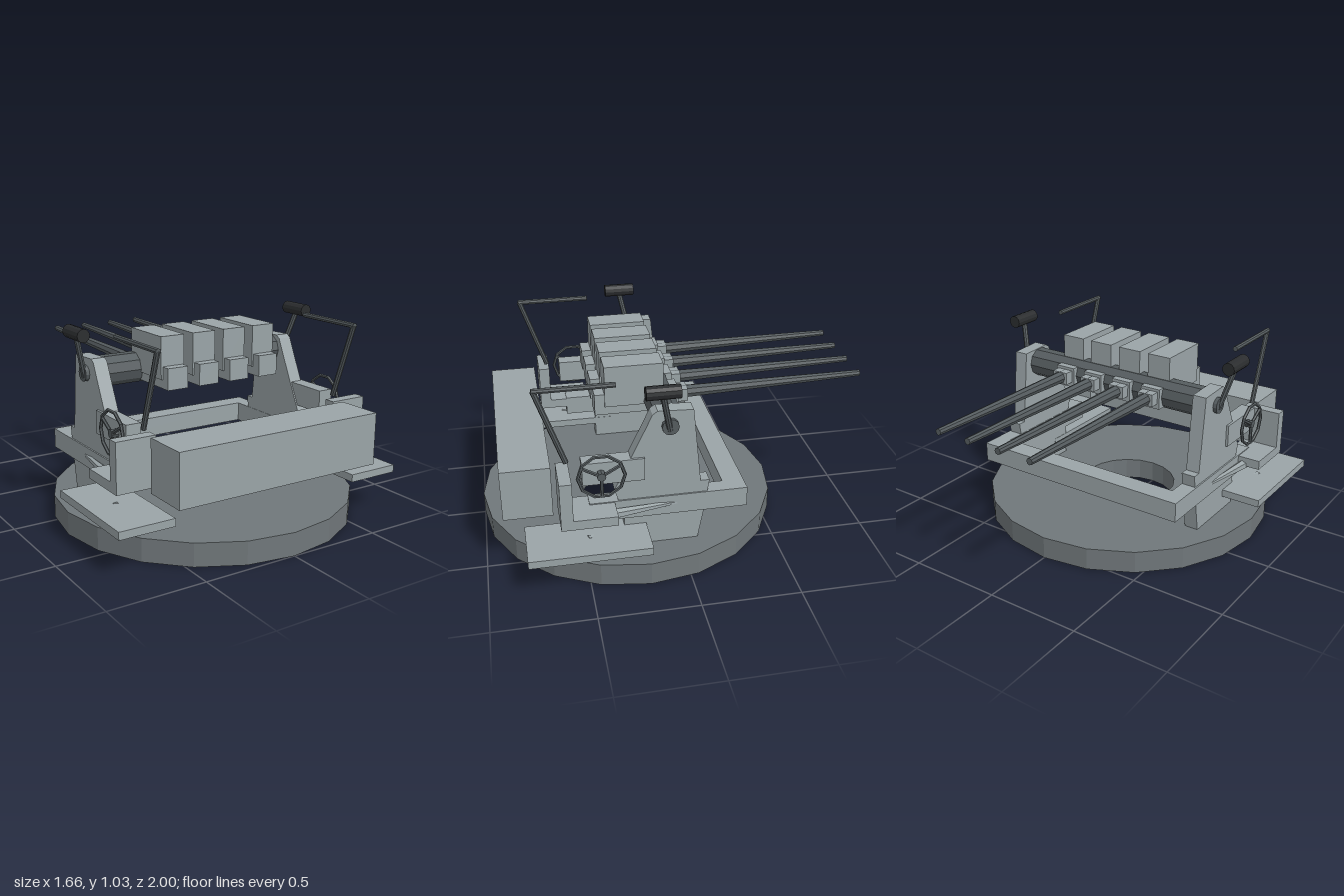
import * as THREE from 'three';

const mat = (color) => new THREE.MeshStandardMaterial({ color, flatShading: true });

export function createModel() {
  const root = new THREE.Group();
  root.name = 'quadGunMount';
  const light = mat(0x9aa4a7), mid = mat(0x70777a), dark = mat(0x555c5f), black = mat(0x2b2d2f);

  const add = (parent, name, geometry, material) => {
    const mesh = new THREE.Mesh(geometry, material);
    mesh.name = name;
    parent.add(mesh);
    return mesh;
  };
  // Box given by its limits on each axis
  const box = (parent, name, [x0, x1], [y0, y1], [z0, z1], material = light) => {
    const g = new THREE.BoxGeometry(x1 - x0, y1 - y0, z1 - z0);
    g.translate((x0 + x1) / 2, (y0 + y1) / 2, (z0 + z1) / 2);
    return add(parent, name, g, material);
  };
  // Round bar between two points, optionally tapered
  const rod = (parent, name, from, to, r0, r1 = r0, material = dark, sides = 8) => {
    const a = new THREE.Vector3(...from), b = new THREE.Vector3(...to);
    const dir = b.clone().sub(a);
    const mesh = add(parent, name, new THREE.CylinderGeometry(r1, r0, dir.length(), sides), material);
    mesh.position.copy(a).add(b).multiplyScalar(0.5);
    mesh.quaternion.setFromUnitVectors(new THREE.Vector3(0, 1, 0), dir.normalize());
    return mesh;
  };

  // Base ring, twenty-sided with a central opening
  const ring = (radius) => Array.from({ length: 20 }, (_, i) => {
    const a = (i / 20) * Math.PI * 2;
    return new THREE.Vector2(Math.cos(a) * radius, Math.sin(a) * radius);
  });
  const baseShape = new THREE.Shape(ring(0.795));
  baseShape.holes.push(new THREE.Path(ring(0.265).reverse()));
  const baseGeo = new THREE.ExtrudeGeometry(baseShape, { depth: 0.12, bevelEnabled: false });
  baseGeo.rotateX(-Math.PI / 2).translate(0, 0, 0.205);
  add(root, 'baseRing', baseGeo, mid);

  // Cross members
  box(root, 'rearCrossbar', [-0.62, 0.62], [0.285, 0.39], [-0.315, -0.205]);
  box(root, 'frontBox', [-0.578, 0.578], [0.32, 0.59], [0.655, 0.9]);
  rod(root, 'gunAxle', [-0.54, 0.78, 0.08], [0.54, 0.78, 0.08], 0.08, 0.08, dark, 10);

  // Four guns
  for (let i = 0; i < 4; i++) {
    const gun = new THREE.Group();
    gun.name = 'gun' + (i + 1);
    gun.position.x = (i - 1.5) * 0.183;
    box(gun, 'ammoBox', [-0.066, 0.066], [0.765, 0.98], [0.06, 0.355]);
    box(gun, 'receiver', [-0.057, 0.057], [0.72, 0.83], [-0.02, 0.405]);
    box(gun, 'barrelCollar', [-0.045, 0.045], [0.75, 0.815], [-0.07, -0.02]);
    rod(gun, 'barrel', [0, 0.782, 0], [0, 0.802, -1], 0.034, 0.017);
    root.add(gun);
  }

  // Side plate outline as (z, y)
  const plateOutline = [
    [0.31, 0.12], [0.31, 0.3], [0.355, 0.45], [0.195, 0.78], [0.165, 0.845], [0.14, 0.862],
    [-0.035, 0.855], [-0.075, 0.455], [-0.12, 0.455], [-0.11, 0.385], [-0.095, 0.285], [-0.065, 0.12],
  ];

  for (const s of [1, -1]) {
    const side = new THREE.Group();
    side.name = s > 0 ? 'leftStation' : 'rightStation';
    const span = (a, b) => (s > 0 ? [a, b] : [-b, -a]);
    root.add(side);

    // Upright plate carrying the axle, and its frame rail
    const plateShape = new THREE.Shape(plateOutline.map(([z, y]) => new THREE.Vector2(-z, y)));
    const plateGeo = new THREE.ExtrudeGeometry(plateShape, { depth: 0.075, bevelEnabled: false });
    plateGeo.rotateY(Math.PI / 2).translate(s > 0 ? 0.537 : -0.612, 0, 0);
    add(side, 'sidePlate', plateGeo, light);
    box(side, 'sideRail', span(0.535, 0.62), [0.285, 0.39], [-0.205, 0.48]);
    rod(side, 'axleCap', [s * 0.6, 0.78, 0.08], [s * 0.632, 0.78, 0.08], 0.042, 0.042, dark, 12);

    // Seat, footplate and their tapered braces
    box(side, 'seat', span(0.535, 0.745), [0.335, 0.385], [0.355, 0.605]);
    box(side, 'seatBack', span(0.535, 0.745), [0.335, 0.59], [0.57, 0.63]);
    box(side, 'footplate', span(0.535, 0.828), [0.2, 0.24], [0.2, 0.8]);
    rod(side, 'seatBrace', [s * 0.66, 0.335, 0.48], [s * 0.6, 0.345, -0.06], 0.033, 0.004, light, 6);
    rod(side, 'footplateBrace', [s * 0.68, 0.228, 0.5], [s * 0.595, 0.18, 0.24], 0.02, 0.012, light, 6);

    // Gearbox and handwheel
    box(side, 'gearbox', span(0.545, 0.625), [0.5, 0.62], [0.205, 0.51]);
    rod(side, 'wheelShaft', [s * 0.61, 0.56, 0.42], [s * 0.662, 0.56, 0.42], 0.022);
    const wheel = new THREE.Group();
    wheel.name = 'handwheel';
    wheel.position.set(s * 0.652, 0.56, 0.42);
    const rim = add(wheel, 'wheelRim', new THREE.TorusGeometry(0.114, 0.009, 6, 10), dark);
    rim.rotation.y = Math.PI / 2;
    for (let i = 0; i < 3; i++) {
      const a = Math.PI / 6 + (i * Math.PI * 2) / 3;
      rod(wheel, 'wheelSpoke', [0, 0, 0], [0, Math.sin(a) * 0.114, Math.cos(a) * 0.114], 0.009, 0.009, dark, 6);
    }
    side.add(wheel);

    // Lever with a dark grip
    rod(side, 'lever', [s * 0.622, 0.76, 0.082], [s * 0.685, 0.99, 0.13], 0.015);
    rod(side, 'leverGrip', [s * 0.683, 0.995, 0.045], [s * 0.683, 0.995, 0.21], 0.034, 0.034, black, 12);

    // Bent sight arm
    rod(side, 'sightPost', [s * 0.573, 0.61, 0.58], [s * 0.573, 1.0, 0.712], 0.014);
    rod(side, 'sightArm', [s * 0.573, 1.0, 0.72], [s * 0.573, 1.0, 0.33], 0.014);
  }
  return root;
}
